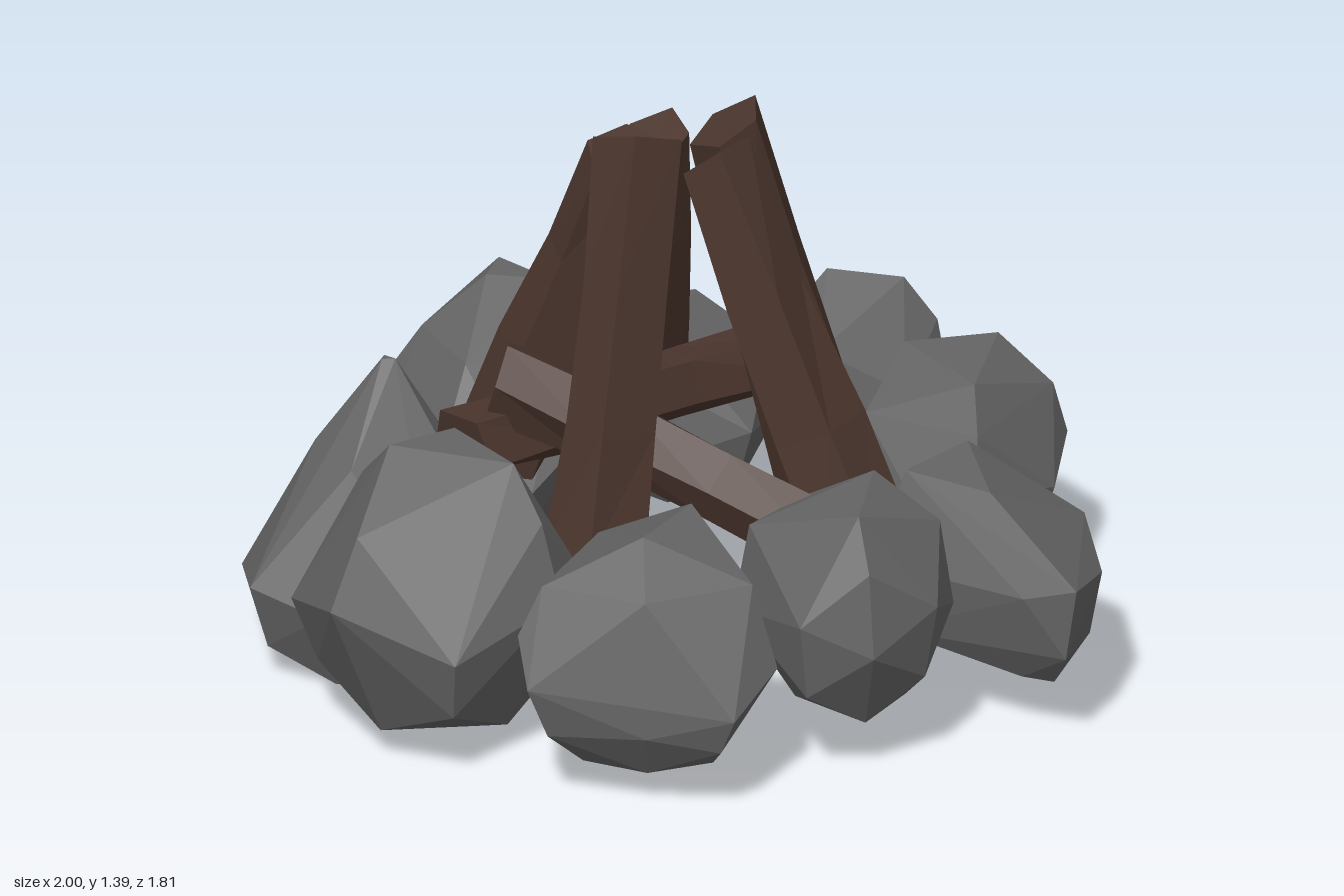
import * as THREE from 'three';
import { ConvexGeometry } from 'three/addons/geometries/ConvexGeometry.js';

const stone = new THREE.MeshStandardMaterial({ color: 0x646464 });
stone.name = 'stone grey';
const bark = new THREE.MeshStandardMaterial({ color: 0x4a352d });
bark.name = 'dark wood';

// Small seeded generator for chipped facets
function seeded(seed) {
  let s = seed * 7919 + 17;
  return () => (s = (s * 16807) % 2147483647) / 2147483647;
}

// Faceted boulder: plan outline [x, z, optional height], heights (bottom, widest, top),
// peak [x, z], crown and base sizes relative to the outline
function boulder(name, outline, [y0, ym, y1], peak, crown, base, seed) {
  const rnd = seeded(seed);
  const n = outline.length;
  const cx = outline.reduce((a, p) => a + p[0], 0) / n;
  const cz = outline.reduce((a, p) => a + p[1], 0) / n;
  const h = y1 - y0;
  const points = [];
  const ring = (x, z, y, scale, first, step, wobble) => {
    for (let i = first; i < n; i += step) {
      const k = scale * (1 + (rnd() - 0.5) * wobble);
      const [px, pz] = outline[i];
      points.push(new THREE.Vector3(x + (px - cx) * k, y + (rnd() - 0.5) * wobble * h * 0.5, z + (pz - cz) * k));
    }
  };
  ring(cx, cz, y0, base, 0, 2, 0);
  ring(cx, cz, y0 + (ym - y0) * 0.38, 0.86, 1, 2, 0.1);
  outline.forEach(([x, z, y = ym + (points.length % 2 ? -0.07 : 0.07) * h]) => points.push(new THREE.Vector3(x, y, z)));
  ring(cx + (peak[0] - cx) * 0.3, cz + (peak[1] - cz) * 0.3, ym + (y1 - ym) * 0.6,
    Math.min(0.9, 0.45 + crown * 0.75), 0, 2, 0.1);
  ring(peak[0], peak[1], y1, crown, 1, 3, 0);
  const mesh = new THREE.Mesh(new ConvexGeometry(points), stone);
  mesh.name = name;
  return mesh;
}

// Rough five-sided split log running between two points
function log(name, from, to, r0, r1, seed) {
  const a = new THREE.Vector3(...from), b = new THREE.Vector3(...to);
  const rnd = seeded(seed);
  const rows = 3, sides = 5;
  const geo = new THREE.CylinderGeometry(r1, r0, a.distanceTo(b), sides, rows);
  const pos = geo.attributes.position;
  const scale = Array.from({ length: (rows + 1) * sides }, () => 0.86 + rnd() * 0.3);
  const turn = rnd() * 6;
  const half = a.distanceTo(b) / 2;
  const p = new THREE.Vector3();
  for (let i = 0; i < pos.count; i++) {
    p.fromBufferAttribute(pos, i);
    // Same chip for vertices that share a place, so the surface stays closed
    const row = Math.round((p.y / half + 1) * rows / 2);
    const side = (Math.round(Math.atan2(p.x, p.z) / (Math.PI * 2) * sides) + sides) % sides;
    const onAxis = Math.hypot(p.x, p.z) < 0.001;
    const k = onAxis ? 1 : scale[row * sides + side];
    const endTilt = row === rows || row === 0 ? p.x * 0.3 : 0;
    pos.setXYZ(i, p.x * k, p.y + endTilt, p.z * k);
  }
  const flat = geo.toNonIndexed();
  flat.rotateY(turn);
  flat.computeVertexNormals();
  const mesh = new THREE.Mesh(flat, bark);
  mesh.name = name;
  mesh.position.copy(a).lerp(b, 0.5);
  mesh.quaternion.setFromUnitVectors(new THREE.Vector3(0, 1, 0), b.clone().sub(a).normalize());
  return mesh;
}

export function createModel() {
  const model = new THREE.Group();
  model.name = 'campfire';

  // Ring of stones
  const stones = new THREE.Group();
  stones.name = 'stoneRing';
  stones.add(
    boulder('backStone', [[-.07, -.56], [-.04, -.74], [.09, -.91], [.22, -.9], [.32, -.78], [.27, -.61], [.09, -.48]],
      [.13, .4, .66], [.12, -.71], .5, .45, 1),
    boulder('backLeftStone', [[.28, -.71], [.49, -.76], [.64, -.68], [.67, -.52], [.57, -.3], [.46, -.24], [.23, -.37], [.19, -.56]],
      [.12, .34, .59], [.44, -.54], .6, .55, 2),
    boulder('leftStone', [[.45, -.2, .32], [.65, -.37, .36], [.85, -.24, .4], [.97, -.04, .36], [1, .2, .42], [.97, .19, .24], [.87, .2, .38], [.47, .1, .36]],
      [.14, .3, .56], [.64, -.04], .42, .6, 3),
    boulder('frontLeftStone', [[.31, .17], [.54, .11], [.7, .2], [.73, .38], [.64, .55], [.48, .6], [.24, .4]],
      [.13, .38, .65], [.5, .34], .55, .5, 4),
    boulder('frontStone', [[-.09, .45, .42], [.28, .42, .4], [.44, .64, .33], [.4, .81, .26], [.2, .85, .2], [-.07, .9, .3], [-.12, .83, .4]],
      [.08, .34, .62], [.1, .6], .48, .5, 5),
    boulder('frontRightStone', [[-.69, .51], [-.5, .38], [-.26, .34], [-.1, .4], [-.08, .66], [-.25, .89], [-.55, .9], [-.73, .68]],
      [.07, .37, .72], [-.36, .58], .46, .55, 6),
    boulder('rightStone', [[-1, .29, .19], [-.95, .06, .2], [-.77, -.08, .24], [-.42, 0, .2], [-.35, .22, .16], [-.48, .4, .22], [-.72, .52, .2], [-.9, .5, .24]],
      [0, .18, .71], [-.69, .17], .05, .7, 7),
    boulder('backRightStone', [[-.89, -.25], [-.86, -.43], [-.61, -.56], [-.44, -.38], [-.35, -.21], [-.42, -.04], [-.63, -.02], [-.84, -.11]],
      [.07, .36, .69], [-.59, -.4], .3, .5, 8),
    boulder('rearRightStone', [[-.56, -.77], [-.27, -.81], [-.06, -.68], [-.03, -.42], [-.19, -.35], [-.48, -.38], [-.57, -.52]],
      [.14, .34, .56], [-.3, -.57], .56, .5, 9),
  );

  // Logs leaning together, then two lying across the inside
  const logs = new THREE.Group();
  logs.name = 'logPile';
  logs.add(
    log('frontLog', [-.12, .37, .36], [-.1, 1.34, .12], .115, .1, 11),
    log('leftLog', [.44, .34, .05], [.055, 1.29, .05], .115, .09, 12),
    log('backLeftLog', [.21, .2, -.39], [.03, 1.3, -.1], .12, .095, 13),
    log('backRightLog', [-.28, .43, -.36], [-.14, 1.24, -.1], .11, .085, 14),
    log('rightLog', [-.5, .42, -.06], [-.18, 1.24, 0], .11, .085, 15),
    log('crossLogFront', [.42, .46, .24], [-.42, .71, .17], .085, .095, 16),
    log('crossLogBack', [.05, .58, -.45], [-.47, .57, .27], .09, .09, 17),
  );

  model.add(stones, logs);
  return model;
}
